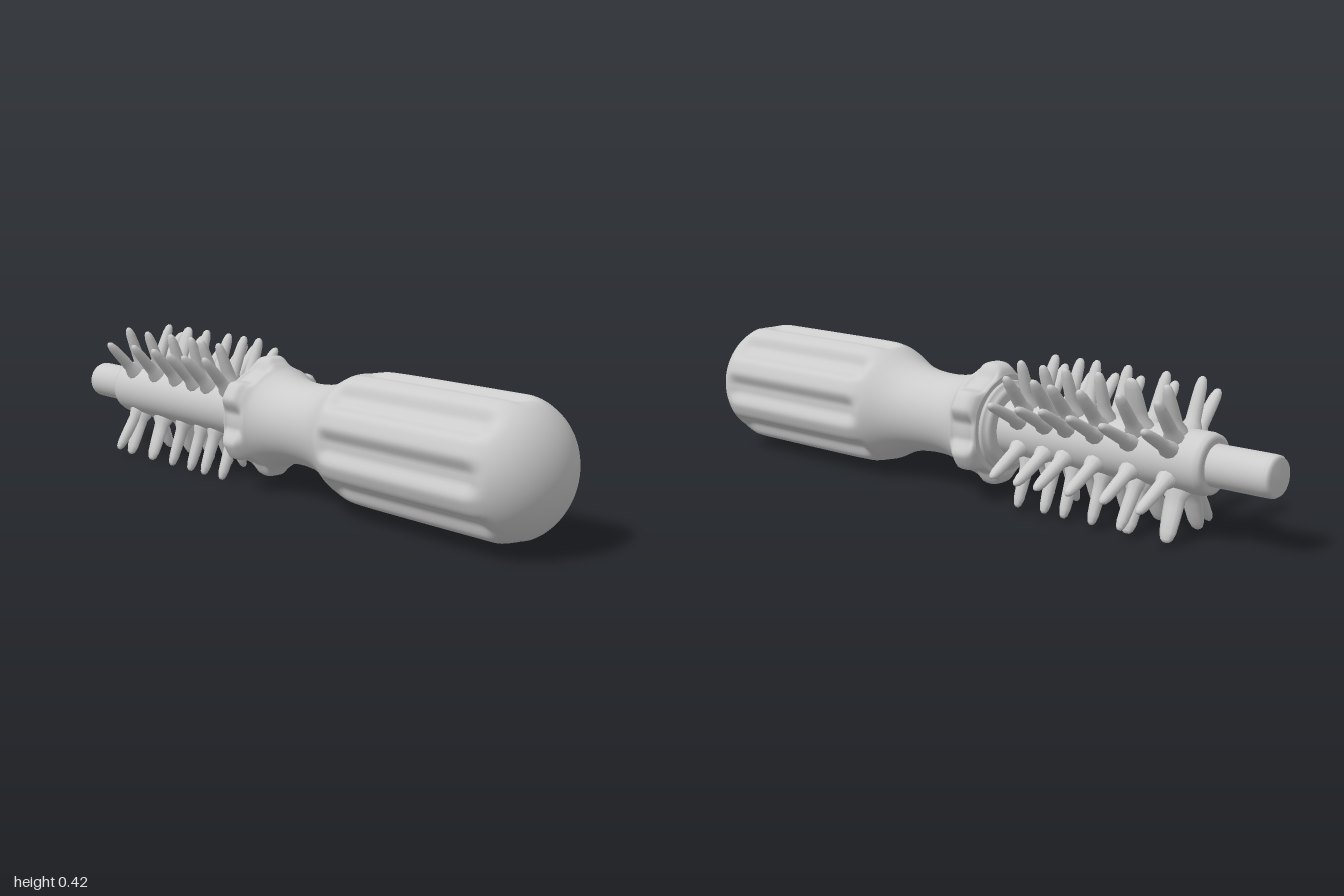
import * as THREE from 'three';
import { mergeVertices } from 'three/addons/utils/BufferGeometryUtils.js';

const material = new THREE.MeshStandardMaterial({ color: 0xcccccc, side: THREE.DoubleSide });
const AXIS_Y = 0.221;
const v2 = (p) => new THREE.Vector2(p[0], p[1]);
const smooth = THREE.MathUtils.smoothstep;

function add(group, name, geometry) {
  const mesh = new THREE.Mesh(geometry, material);
  mesh.name = name;
  group.add(mesh);
  return mesh;
}

// Turn a lathe (profile of [radius, x]) so that its axis lies along x
function turned(profile, segments = 48) {
  return new THREE.LatheGeometry(profile.map(v2), segments).rotateZ(-Math.PI / 2);
}

// Distance in radians to the nearest of n evenly spaced directions
function offAxis(angle, n, start = 0) {
  const step = (Math.PI * 2) / n;
  const a = (angle - start) / step;
  return Math.abs(a - Math.round(a)) * step;
}

function handleGeometry() {
  // Collar, waist and grip, as x and radius
  const outline = [
    [-0.13, 0.145], [-0.12, 0.165], [-0.1, 0.176], [-0.065, 0.176], [-0.045, 0.16],
    [-0.02, 0.14], [0.03, 0.124], [0.1, 0.118], [0.18, 0.124], [0.24, 0.14],
    [0.3, 0.168], [0.34, 0.181], [0.4, 0.185], [0.6, 0.186], [0.85, 0.186],
  ];
  const curve = new THREE.SplineCurve(outline.map(v2));
  const profile = [new THREE.Vector2(0, -0.13)];
  for (const p of curve.getPoints(110)) profile.push(new THREE.Vector2(p.y, p.x));
  // Domed end
  for (let i = 1; i <= 18; i++) {
    const a = (i / 18) * Math.PI / 2;
    profile.push(new THREE.Vector2(0.186 * Math.cos(a), 0.85 + 0.15 * Math.sin(a)));
  }
  let geometry = new THREE.LatheGeometry(profile, 144).rotateZ(-Math.PI / 2);
  geometry.deleteAttribute('uv');
  geometry.deleteAttribute('normal');
  const pos = geometry.attributes.position;
  for (let i = 0; i < pos.count; i++) {
    const x = pos.getX(i), y = pos.getY(i), z = pos.getZ(i);
    const r = Math.hypot(y, z), angle = Math.atan2(y, z);
    if (r < 1e-5) continue;
    // Eight long flutes in the grip
    const f = offAxis(angle, 8);
    const along = smooth(x, 0.3, 0.36) * (1 - smooth(x, 0.85, 0.92));
    let cut = 0.023 * along * (1 - smooth(f, 0.06, 0.3));
    // Six scallops round the collar
    const s = offAxis(angle, 6);
    const band = smooth(x, -0.135, -0.11) * (1 - smooth(x, -0.065, -0.03));
    cut += 0.032 * band * (1 - smooth(s, 0.14, 0.4));
    const k = (r - cut) / r;
    pos.setXYZ(i, x, y * k, z * k);
  }
  geometry = mergeVertices(geometry, 1e-5);
  geometry.computeVertexNormals();
  return geometry;
}

export function createModel() {
  const model = new THREE.Group();
  model.name = 'spikedTool';
  const body = new THREE.Group();
  body.name = 'body';
  body.position.set(0, AXIS_Y, 0.003);
  model.add(body);

  add(body, 'handle', handleGeometry());

  // Stepped ring between collar and barrel
  add(body, 'collarRing', turned([
    [0, -0.157], [0.105, -0.157], [0.116, -0.15], [0.116, -0.143],
    [0.126, -0.141], [0.13, -0.136], [0.13, -0.12], [0, -0.12],
  ]));

  // Barrel and slimmer end pin
  add(body, 'barrel', turned([
    [0, -0.817], [0.068, -0.817], [0.079, -0.81], [0.083, -0.795], [0.083, -0.14], [0, -0.14],
  ]));
  add(body, 'endPin', turned([
    [0, -1], [0.048, -1], [0.055, -0.99], [0.056, -0.975], [0.056, -0.8], [0, -0.8],
  ]));

  // Spike with a flared foot and blunt tip, measured from the barrel axis
  const spikeGeometry = new THREE.LatheGeometry([
    [0.03, 0.07], [0.029, 0.088], [0.021, 0.105], [0.02, 0.13], [0.0185, 0.165],
    [0.0165, 0.195], [0.012, 0.213], [0.006, 0.22], [0, 0.221],
  ].map(v2), 10);

  // Spike rows: angle from straight up toward the front, in degrees
  const stations = [-0.72, -0.6, -0.488, -0.39, -0.32, -0.23];
  const rows = [21, 42, -20, -39, -61, -117, -159, 159];
  const spikes = new THREE.Group();
  spikes.name = 'spikes';
  body.add(spikes);
  function spike(x, degrees, width = 1, lean = 0) {
    const mesh = add(spikes, 'spike', spikeGeometry);
    mesh.position.x = x;
    mesh.rotation.set(THREE.MathUtils.degToRad(degrees), 0, lean);
    mesh.scale.set(width, 1, 0.85);
  }
  rows.forEach((degrees, r) => stations.forEach((x, i) => {
    const wobble = 0.03 * Math.sin(r * 2.3 + i * 1.7);
    // The two stations nearest the pin carry some broad spikes
    const broad = (i < 2 && Math.abs(degrees) === 159) || (i === 1 && degrees === -20);
    spike(x, degrees + wobble * 40, broad ? 1.45 : 1, wobble);
  }));
  // Extra spikes at the pin end
  spike(-0.72, 148, 1, 0.05);
  spike(-0.61, -150, 1, -0.05);

  return model;
}
